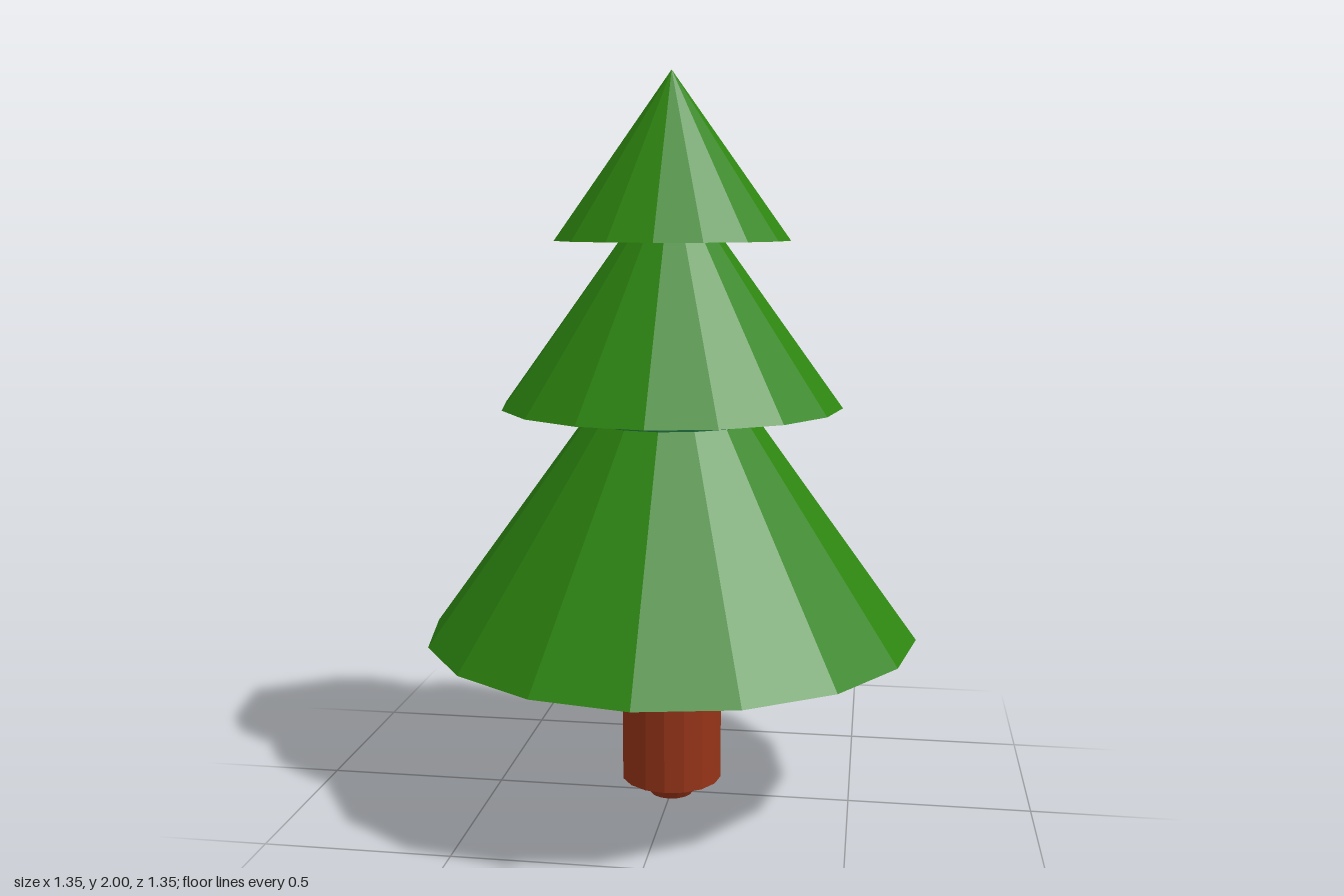
import * as THREE from 'three';

const SIDES = 16;

export function createModel() {
  const tree = new THREE.Group();
  tree.name = 'pineTree';

  const paint = (color) => new THREE.MeshStandardMaterial({ color, flatShading: true });
  const green = paint(0x2d8510);
  const teal = paint(0x1f6e3e);
  const brown = paint(0x963418);

  // Closed, faceted frustum standing on y0
  const frustum = (name, bottomRadius, topRadius, y0, y1, material) => {
    const geometry = new THREE.CylinderGeometry(topRadius, bottomRadius, y1 - y0, SIDES);
    const mesh = new THREE.Mesh(geometry, material);
    mesh.name = name;
    mesh.position.y = (y0 + y1) / 2;
    tree.add(mesh);
  };

  // Foot peg and trunk
  frustum('footPegTip', 0.06, 0.08, 0, 0.035, brown);
  frustum('footPegCollar', 0.08, 0.08, 0.035, 0.05, brown);
  frustum('trunk', 0.14, 0.14, 0.05, 0.475, brown);

  // Collar between the lower two tiers
  frustum('collar', 0.24, 0.24, 1.05, 1.11, teal);

  // Three tiers of foliage: base radius, base height, apex height
  const tiers = [
    ['lowerFoliage', 0.675, 0.475, 1.4],
    ['middleFoliage', 0.465, 1.11, 1.75],
    ['upperFoliage', 0.32, 1.555, 2],
  ];
  for (const [name, radius, base, apex] of tiers) {
    const geometry = new THREE.ConeGeometry(radius, apex - base, SIDES);
    const mesh = new THREE.Mesh(geometry, green);
    mesh.name = name;
    mesh.position.y = (base + apex) / 2;
    tree.add(mesh);
  }

  return tree;
}
